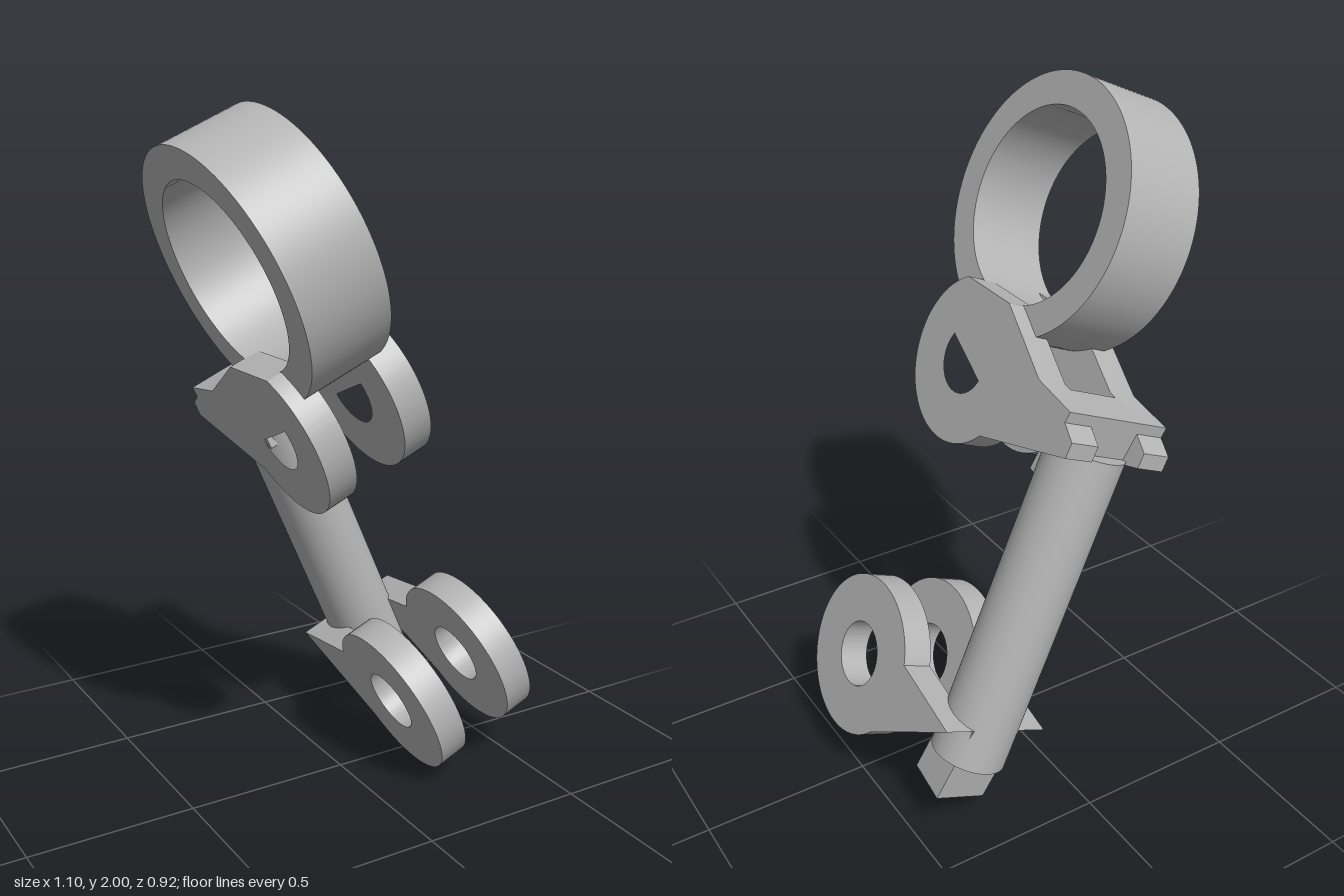
import * as THREE from 'three';
import { toCreasedNormals } from 'three/addons/utils/BufferGeometryUtils.js';

const LEAN = THREE.MathUtils.degToRad(23.5); // sideways lean of the whole assembly
const TILT = THREE.MathUtils.degToRad(9);    // backward droop of each clevis
const MID = 0.383;                           // centre plane across the width
const EYE_Z = 0.083;
const EYE_R = 0.24;
const HOLE_R = 0.097;

const deg = THREE.MathUtils.degToRad;

// Extrudes a side profile (x = backwards, y = up) across the width
function sideExtrude(shape, width, x) {
  const geo = new THREE.ExtrudeGeometry(shape, { depth: width, bevelEnabled: false, curveSegments: 56 });
  geo.translate(0, 0, -width / 2);
  geo.rotateY(Math.PI / 2);
  geo.translate(x, 0, 0);
  return toCreasedNormals(geo, 0.5);
}

// Plain lug: round eye with a straight arm
function lowerLug() {
  const s = new THREE.Shape();
  s.moveTo(0.479, -0.127);
  s.absarc(0, 0, EYE_R, deg(-32), deg(-328), true);
  s.lineTo(0.479, 0.127);
  s.closePath();
  const hole = new THREE.Path();
  hole.absarc(0, 0, HOLE_R, 0, Math.PI * 2, false);
  s.holes.push(hole);
  return s;
}

// Upper lug: flattened top, sloping shoulder, rear tab and D-shaped hole
function upperLug() {
  const s = new THREE.Shape();
  s.moveTo(0.479, -0.127);
  s.absarc(0, 0, EYE_R, deg(-32), deg(-233), true);
  s.lineTo(0.07, 0.222);
  s.lineTo(0.317, 0.127);
  s.lineTo(0.479, 0.127);
  s.lineTo(0.479, 0.095);
  s.lineTo(0.536, 0.07);
  s.lineTo(0.541, 0.025);
  s.closePath();
  const hole = new THREE.Path();
  hole.absarc(0, 0, HOLE_R, deg(-8), deg(-200), true);
  hole.closePath();
  s.holes.push(hole);
  return s;
}

export function createModel() {
  const model = new THREE.Group();
  model.name = 'linkage';
  const grey = new THREE.MeshStandardMaterial({ color: 0xb4b4b4 });
  grey.name = 'plain grey';

  const body = new THREE.Group();
  body.name = 'leaningBody';
  body.rotation.z = LEAN;
  model.add(body);

  const add = (parent, name, geo) => {
    const mesh = new THREE.Mesh(geo, grey);
    mesh.name = name;
    parent.add(mesh);
    return mesh;
  };

  // Two clevises: a pair of lugs joined by a block at the back
  function clevis(name, profile, y) {
    const g = new THREE.Group();
    g.name = name;
    g.position.set(MID, y, EYE_Z);
    g.rotation.x = -TILT;
    for (const side of [-1, 1]) {
      add(g, side < 0 ? 'rightLug' : 'leftLug', sideExtrude(profile, 0.092, side * 0.129));
    }
    const block = add(g, 'bridgeBlock', new THREE.BoxGeometry(0.166, 0.254, 0.134));
    block.position.z = -0.412;
    body.add(g);
  }
  clevis('lowerClevis', lowerLug(), 0.154);
  clevis('upperClevis', upperLug(), 1.116);

  // Round rod joining the clevises
  const rod = add(body, 'rod', new THREE.CylinderGeometry(0.111, 0.111, 0.97, 64));
  rod.position.set(MID, 0.567, -0.332);

  // Large ring on top
  const ring = new THREE.Shape();
  ring.absarc(0, 0, 0.375, 0, Math.PI * 2, false);
  const bore = new THREE.Path();
  bore.absarc(0, 0, 0.28, 0, Math.PI * 2, false);
  ring.holes.push(bore);
  add(body, 'topRing', sideExtrude(ring, 0.252, 0)).position.set(MID - 0.003, 1.587, EYE_Z);

  return model;
}
